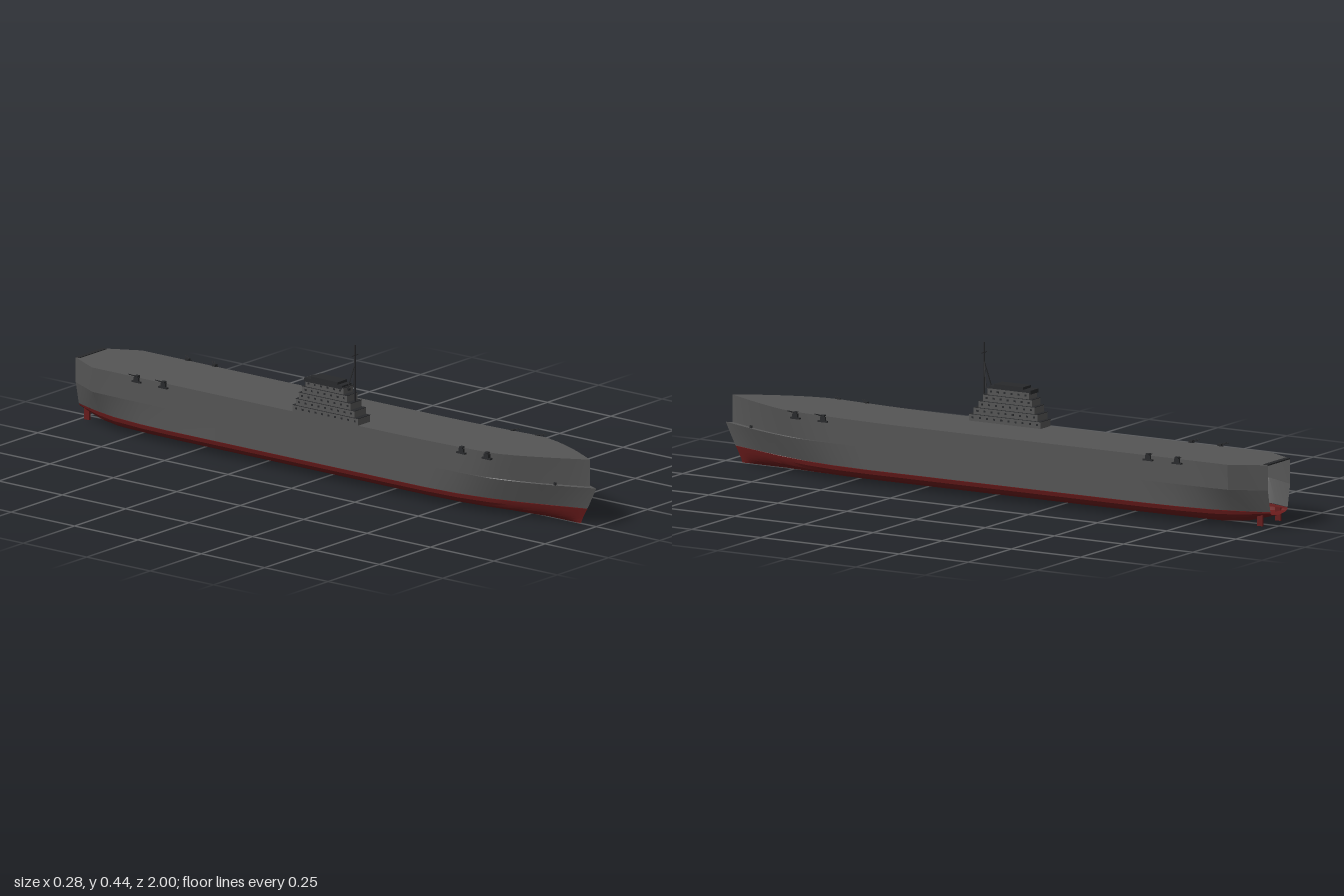
import * as THREE from 'three';
import { toCreasedNormals } from 'three/addons/utils/BufferGeometryUtils.js';

const paint = (name, color, extra = {}) => {
  const m = new THREE.MeshStandardMaterial({ color, ...extra });
  m.name = name;
  return m;
};

// Linear lookup in a list of [z, value] pairs
function lookup(pairs, z) {
  if (z <= pairs[0][0]) return pairs[0][1];
  for (let i = 1; i < pairs.length; i++) {
    const [z0, v0] = pairs[i - 1], [z1, v1] = pairs[i];
    if (z <= z1) return v0 + (v1 - v0) * (z - z0) / (z1 - z0);
  }
  return pairs[pairs.length - 1][1];
}

// Half widths along the length (z = 1 is the stem)
const DECK = [[-1, 0.065], [-0.89, 0.123], [0.66, 0.123], [0.72, 0.117], [0.78, 0.1], [0.84, 0.077], [0.9, 0.051], [0.95, 0.026], [1, 0]];
const MID = [[-1, 0.065], [-0.89, 0.119], [-0.8, 0.122], [0.58, 0.122], [0.66, 0.116], [0.74, 0.1], [0.82, 0.075], [0.9, 0.043], [0.96, 0.017], [1, 0]];
const WATER = [[-1, 0.05], [-0.92, 0.08], [-0.82, 0.105], [-0.7, 0.118], [-0.58, 0.122], [0.42, 0.122], [0.54, 0.115], [0.66, 0.096], [0.78, 0.067], [0.9, 0.03], [1, 0]];
const STATIONS = [-1, -0.945, -0.89, -0.82, -0.76, -0.7, -0.58, -0.3, 0, 0.3, 0.42, 0.48, 0.54, 0.6, 0.66, 0.72, 0.78, 0.84, 0.87, 0.9, 0.93, 0.96, 0.98, 1];
const sheer = z => 0.2 + 0.009 * THREE.MathUtils.smoothstep(z, 0.3, 0.95);

// A hull row: width curve, width factor, height and z of the stem
const row = (curve, k, y, stem) => z => {
  const rise = 0.035 * THREE.MathUtils.clamp((-0.87 - z) / 0.13, 0, 1);
  let h = typeof y === 'function' ? y(z) : y;
  if (h < 0.05) h += rise * (1 - h / 0.05);
  const zz = z > 0.6 ? 0.6 + (z - 0.6) / 0.4 * (stem - 0.6) : z;
  return [lookup(curve, z) * k, h, zz];
};

// Skin both sides of the hull between neighbouring rows
function skin(rows) {
  const pos = [];
  for (const s of [1, -1]) {
    const P = (i, j) => { const [x, y, z] = rows[j](STATIONS[i]); return [s * x, y, z]; };
    for (let i = 0; i < STATIONS.length - 1; i++) {
      for (let j = 0; j < rows.length - 1; j++) {
        const a = P(i, j), b = P(i + 1, j), c = P(i, j + 1), d = P(i + 1, j + 1);
        const q = s > 0 ? [a, b, c, b, d, c] : [a, c, b, b, c, d];
        q.forEach(p => pos.push(...p));
      }
    }
  }
  return surface(pos);
}

function surface(pos) {
  const g = new THREE.BufferGeometry();
  g.setAttribute('position', new THREE.Float32BufferAttribute(pos, 3));
  return toCreasedNormals(g, 0.4);
}

export function createModel() {
  const ship = new THREE.Group();
  ship.name = 'ship';
  const grey = paint('hull grey', 0x555555, { side: THREE.DoubleSide });
  const red = paint('antifouling red', 0x661a1a, { side: THREE.DoubleSide });
  const steel = paint('island grey', 0x555555);
  const dark = paint('dark grey', 0x28292b);

  const add = (parent, name, geo, mat, x = 0, y = 0, z = 0) => {
    const m = new THREE.Mesh(geo, mat);
    m.name = name;
    m.position.set(x, y, z);
    parent.add(m);
    return m;
  };
  const box = (parent, name, mat, w, h, d, x, y, z) =>
    add(parent, name, new THREE.BoxGeometry(w, h, d), mat, x, y, z);
  const rod = (parent, name, mat, from, to, r) => {
    const a = new THREE.Vector3(...from), b = new THREE.Vector3(...to);
    const m = add(parent, name, new THREE.CylinderGeometry(r, r, a.distanceTo(b), 6), mat);
    m.position.copy(a).add(b).multiplyScalar(0.5);
    m.quaternion.setFromUnitVectors(new THREE.Vector3(0, 1, 0), b.sub(a).normalize());
    return m;
  };

  // Hull shell, open at the stern, with a small step at the bow
  const top = row(DECK, 1, sheer, 0.975);
  const stepIn = row(MID, 1, 0.123, 0.975);
  const stepOut = row(MID, 1, 0.121, 1);
  const water = row(WATER, 1, 0.05, 0.965);
  add(ship, 'upperHull', skin([top, stepIn]), grey);
  add(ship, 'bowStep', skin([stepIn, stepOut]), grey);
  add(ship, 'lowerHull', skin([stepOut, row(WATER, 1, 0.051, 0.9655)]), grey);
  add(ship, 'underwaterHull', skin([
    water, row(WATER, 0.975, 0.037, 0.957), row(WATER, 0.88, 0.024, 0.95),
    row(WATER, 0.7, 0.014, 0.945), row(WATER, 0.4, 0.006, 0.942), row(WATER, 0, 0, 0.94)]), red);

  // Flight deck
  const deck = [];
  for (let i = 0; i < STATIONS.length - 1; i++) {
    const [w0, y0, z0] = top(STATIONS[i]), [w1, y1, z1] = top(STATIONS[i + 1]);
    deck.push(-w0, y0, z0, -w1, y1, z1, w1, y1, z1, -w0, y0, z0, w1, y1, z1, w0, y0, z0);
  }
  add(ship, 'flightDeck', surface(deck), grey);
  box(ship, 'sternLip', dark, 0.13, 0.004, 0.016, 0, 0.2, -0.992);

  // Stepped island on the right-hand deck edge
  const island = new THREE.Group();
  island.name = 'island';
  ship.add(island);
  const H = 0.0215;
  for (let i = 0; i < 5; i++) {
    const front = 0.16 - i * 0.0155, back = -0.098 + i * 0.0115;
    const outer = -0.123 + i * 0.0013, inner = -0.064 - i * 0.0016;
    const w = inner - outer, d = front - back, cx = (inner + outer) / 2, cz = (front + back) / 2;
    const y = 0.2 + (i + 0.5) * H;
    box(island, 'islandTier', steel, w, H, d, cx, y, cz);
    box(island, 'tierEdge', dark, w + 0.001, 0.0015, d + 0.001, cx, y + H / 2, cz);
    // Windows along both sides
    const n = 10 - i;
    for (let k = 0; k < n; k++) {
      const wz = back + d * (k + 0.5) / n;
      box(island, 'window', dark, w + 0.001, 0.006, 0.007, cx, y + 0.001, wz);
    }
  }
  box(island, 'bridgeRoof', dark, 0.047, 0.012, 0.15, -0.0945, 0.308, 0.018);
  box(island, 'funnelTop', dark, 0.046, 0.012, 0.105, -0.0945, 0.316, 0.0225);
  box(island, 'bridgeLamp', dark, 0.009, 0.007, 0.006, -0.0945, 0.299, 0.1);

  // Tripod mast
  const mast = new THREE.Group();
  mast.name = 'mast';
  island.add(mast);
  const mx = -0.0945, mz = 0.125;
  rod(mast, 'mastPole', dark, [mx, 0.24, mz], [mx, 0.445, mz], 0.0025);
  for (const s of [1, -1]) {
    rod(mast, 'mastLeg', dark, [mx + s * 0.016, 0.305, 0.108], [mx, 0.385, mz], 0.0018);
  }
  rod(mast, 'yard', dark, [mx - 0.016, 0.412, mz], [mx + 0.016, 0.412, mz], 0.0015);

  // Gun sponsons in pairs along both deck edges
  for (const s of [1, -1]) {
    for (const z of [-0.71, -0.605, 0.57, 0.67]) {
      const gun = new THREE.Group();
      gun.name = 'gunSponson';
      gun.position.set(s * 0.122, 0, z);
      ship.add(gun);
      const aim = z > 0 ? 1 : -1;
      box(gun, 'platform', dark, 0.018, 0.005, 0.034, 0, 0.187, 0);
      box(gun, 'mount', dark, 0.01, 0.012, 0.018, s * 0.003, 0.195, 0);
      box(gun, 'shield', dark, 0.012, 0.008, 0.012, s * 0.002, 0.203, 0);
      for (const o of [-0.004, 0.004]) {
        rod(gun, 'barrel', dark, [s * 0.003, 0.203, o], [s * 0.017, 0.21, o + aim * 0.018], 0.0013);
      }
    }
  }

  // Twin rudders and bow anchors
  for (const s of [1, -1]) {
    box(ship, 'rudder', red, 0.006, 0.042, 0.02, s * 0.052, 0.026, -0.965);
    box(ship, 'anchor', dark, 0.006, 0.008, 0.008, s * 0.05, 0.126, 0.878);
  }
  return ship;
}
